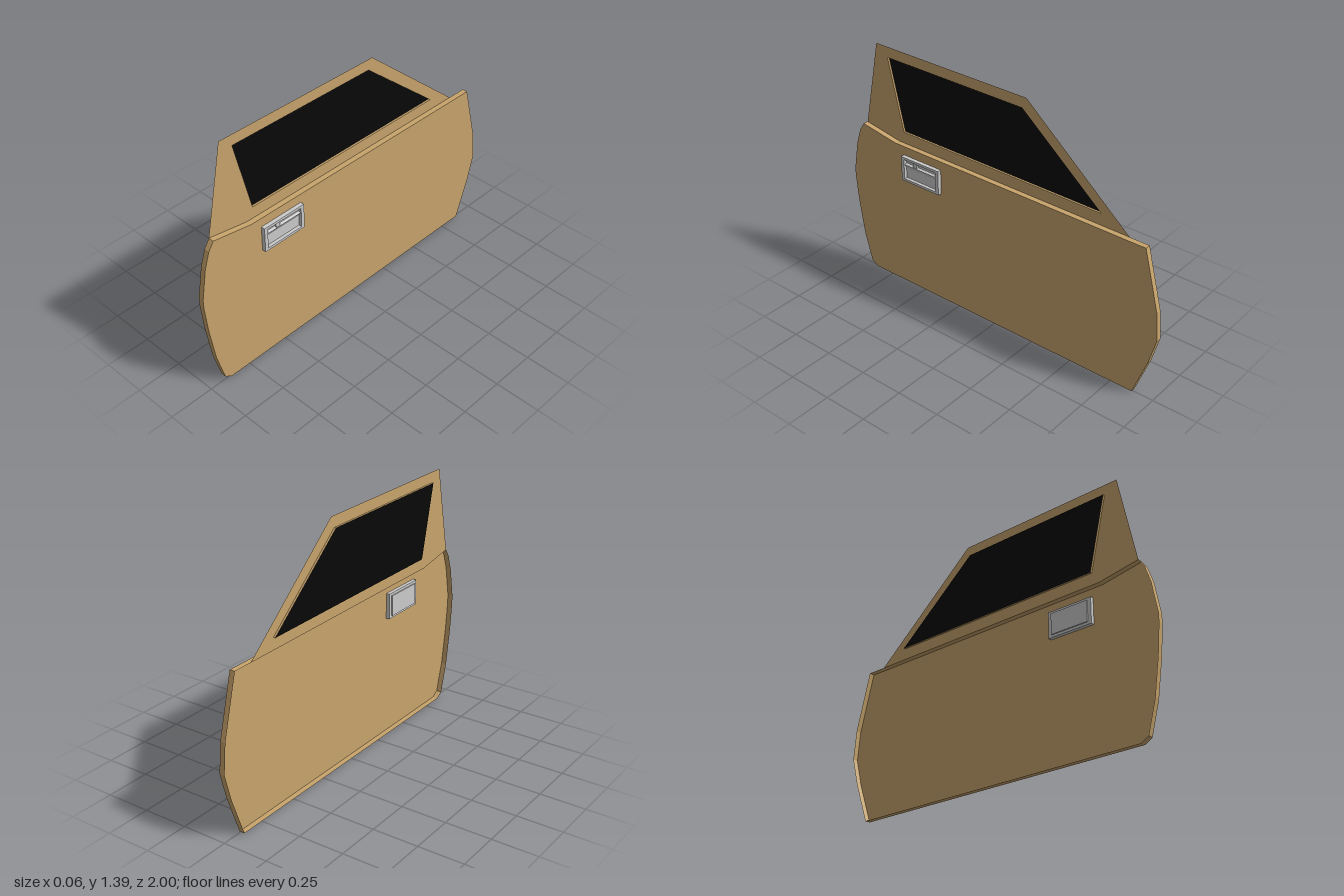
import * as THREE from 'three';

const material = (color) => new THREE.MeshStandardMaterial({ color, side: THREE.DoubleSide, flatShading: true });

// Outlines are [z, y] pairs; shapes are drawn with -z and turned to face +x.
const toPoints = (outline) => outline.map(([z, y]) => new THREE.Vector2(-z, y));

function makeShape(outline, hole) {
  const shape = new THREE.Shape(toPoints(outline));
  if (hole) shape.holes.push(new THREE.Path(toPoints(hole)));
  return shape;
}

// Flat sheet at a given x
function sheet(outline, x, hole) {
  return new THREE.ShapeGeometry(makeShape(outline, hole)).rotateY(Math.PI / 2).translate(x, 0, 0);
}

// Solid slab from x0 to x1
function slab(outline, x0, x1, hole) {
  return new THREE.ExtrudeGeometry(makeShape(outline, hole), { depth: x1 - x0, bevelEnabled: false })
    .rotateY(Math.PI / 2).translate(x0, 0, 0);
}

// Closed ribbon along an outline, from x0 to x1
function wall(outline, x0, x1) {
  const positions = [];
  outline.forEach(([z, y], i) => {
    const [z2, y2] = outline[(i + 1) % outline.length];
    positions.push(x0, y, z, x1, y2, z2, x1, y, z, x0, y, z, x0, y2, z2, x1, y2, z2);
  });
  const geometry = new THREE.BufferGeometry();
  geometry.setAttribute('position', new THREE.Float32BufferAttribute(positions, 3));
  geometry.computeVertexNormals();
  return geometry;
}

const rect = (z0, z1, y0, y1) => [[z1, y0], [z0, y0], [z0, y1], [z1, y1]];

export function createModel() {
  const door = new THREE.Group();
  door.name = 'carDoor';
  const paint = material(0xc8a46c);
  const glass = material(0x080808);
  const metal = material(0xcccccc);

  const add = (name, geometry, mat, parent = door) => {
    const mesh = new THREE.Mesh(geometry, mat);
    mesh.name = name;
    parent.add(mesh);
  };

  const outerX = 0.008, innerX = -0.022, glassX = -0.033;

  // Lower door: outer skin with a folded rim, open on the inside
  const panel = [
    [0.91, 0.905], [0.94, 0.86], [0.97, 0.77], [1, 0.6], [1, 0.55], [0.985, 0.39], [0.955, 0.19],
    [0.91, 0.025], [0.87, 0], [-0.88, 0], [-0.96, 0.22], [-1, 0.37], [-0.985, 0.53],
    [-0.9, 0.855], [-0.79, 0.855], [0.68, 0.865],
  ];
  add('doorSkin', sheet(panel, outerX), paint);
  add('doorRim', wall(panel, innerX, outerX), paint);

  // Window frame: thin sheet with a reveal around the opening
  const frame = [[0.91, 0.905], [0.81, 1.39], [-0.17, 1.38], [-0.79, 0.855], [0.68, 0.865]];
  const opening = [[0.735, 1.33], [-0.145, 1.32], [-0.625, 0.92], [0.64, 0.93]];
  add('windowFrame', sheet(frame, innerX, opening), paint);
  add('windowReveal', wall(opening, glassX, innerX), paint);
  add('windowGlass', sheet(opening, glassX), glass);

  // Handle: housing ring, recessed pan and a lever with a sloping underside
  const handle = new THREE.Group();
  handle.name = 'doorHandle';
  door.add(handle);
  const recess = rect(0.38, 0.6, 0.686, 0.8);
  add('handleHousing', slab(rect(0.36, 0.62, 0.672, 0.814), -0.012, 0.03, recess), metal, handle);
  add('handlePan', slab(recess, -0.018, 0.012), metal, handle);

  const profile = new THREE.Shape([[0.012, 0.745], [0.026, 0.77], [0.012, 0.775]]
    .map(([x, y]) => new THREE.Vector2(x, y)));
  const lever = new THREE.ExtrudeGeometry(profile, { depth: 0.22, bevelEnabled: false });
  add('handleLever', lever.translate(0, 0, 0.38), metal, handle);
  add('handleTab', slab(rect(0.515, 0.54, 0.77, 0.8), 0.012, 0.024), metal, handle);

  return door;
}
